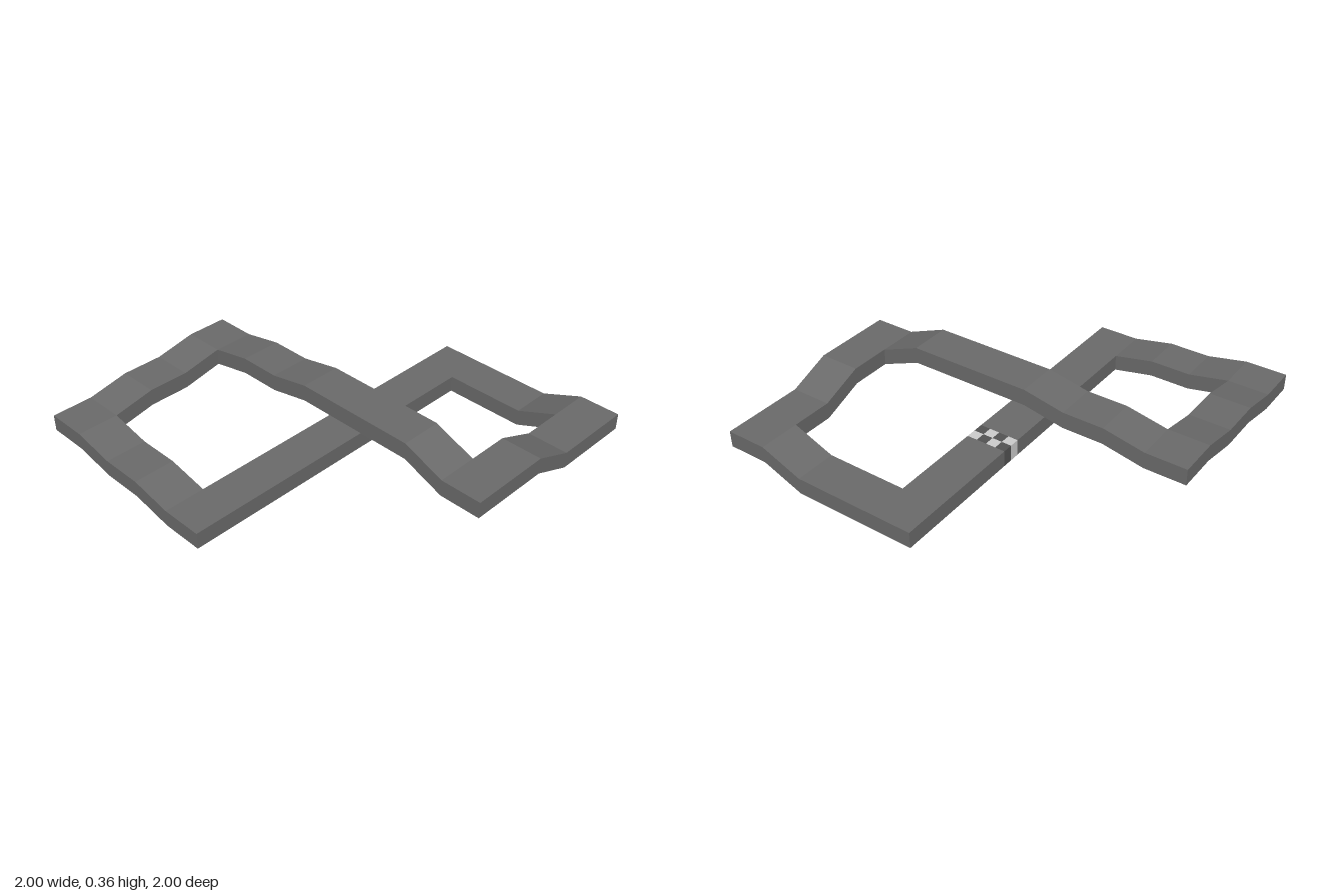
import * as THREE from 'three';

const CELL = 2 / 9;          // track width and grid step
const STEP = CELL / 5;       // height step
const THICK = CELL * 0.4;    // slab thickness

const material = (color) => new THREE.MeshStandardMaterial({ color, flatShading: true });

// A straight run of track: points are [cells along the run, height steps of the underside]
function trackRun(name, axis, lane, points, mat) {
  const under = points.map(([s, h]) => new THREE.Vector2(s * CELL, h * STEP));
  const over = under.map((p) => new THREE.Vector2(p.x, p.y + THICK)).reverse();
  const geometry = new THREE.ExtrudeGeometry(new THREE.Shape([...under, ...over]), {
    depth: CELL, bevelEnabled: false,
  });
  if (axis === 'x') {
    geometry.translate(0, 0, (lane - 0.5) * CELL);
  } else {
    geometry.rotateY(-Math.PI / 2);
    geometry.translate((lane + 0.5) * CELL, 0, 0);
  }
  const mesh = new THREE.Mesh(geometry, mat);
  mesh.name = name;
  return mesh;
}

export function createModel() {
  const model = new THREE.Group();
  model.name = 'raceTrack';
  const road = material(0x6a6a6a);
  const light = material(0xcccccc);
  const dark = material(0x525252);

  // Ground-level straight, interrupted by the start line, then the loops and the bridge
  const runs = [
    ['straightLong', 'x', 0, [[-4.5, 0], [0.75, 0]]],
    ['straightShort', 'x', 0, [[1.25, 0], [4.5, 0]]],
    ['leftSide', 'z', 4, [[0.5, 0], [2.5, 0], [3.5, 2], [4.5, 2]]],
    ['frontSide', 'x', 4, [[-0.5, 4], [1.5, 4], [2.5, 2], [3.5, 2]]],
    ['bridge', 'z', 0, [[-4.5, 4], [-3.5, 4], [-2.5, 5], [-1.5, 5], [-0.5, 6], [2.5, 6], [3.5, 4]]],
    ['backSide', 'x', -4, [[-4.5, 2], [-3.5, 2], [-2.5, 3], [-1.5, 3], [-0.5, 4]]],
    ['rightSide', 'z', -4, [[-3.5, 2], [-2.5, 1], [-1.5, 1], [-0.5, 0]]],
  ];
  for (const run of runs) model.add(trackRun(...run, road));

  // Chequered start line, running through the full thickness
  const startLine = new THREE.Group();
  startLine.name = 'startLine';
  const size = CELL / 4;
  const block = new THREE.BoxGeometry(size, THICK, size);
  for (let col = 0; col < 2; col++) {
    for (let row = 0; row < 4; row++) {
      const isLight = (col + row) % 2 === 0;
      const check = new THREE.Mesh(block, isLight ? light : dark);
      check.name = isLight ? 'lightCheck' : 'darkCheck';
      check.position.set(CELL + (col - 0.5) * size, THICK / 2, (row - 1.5) * size);
      startLine.add(check);
    }
  }
  model.add(startLine);
  return model;
}
